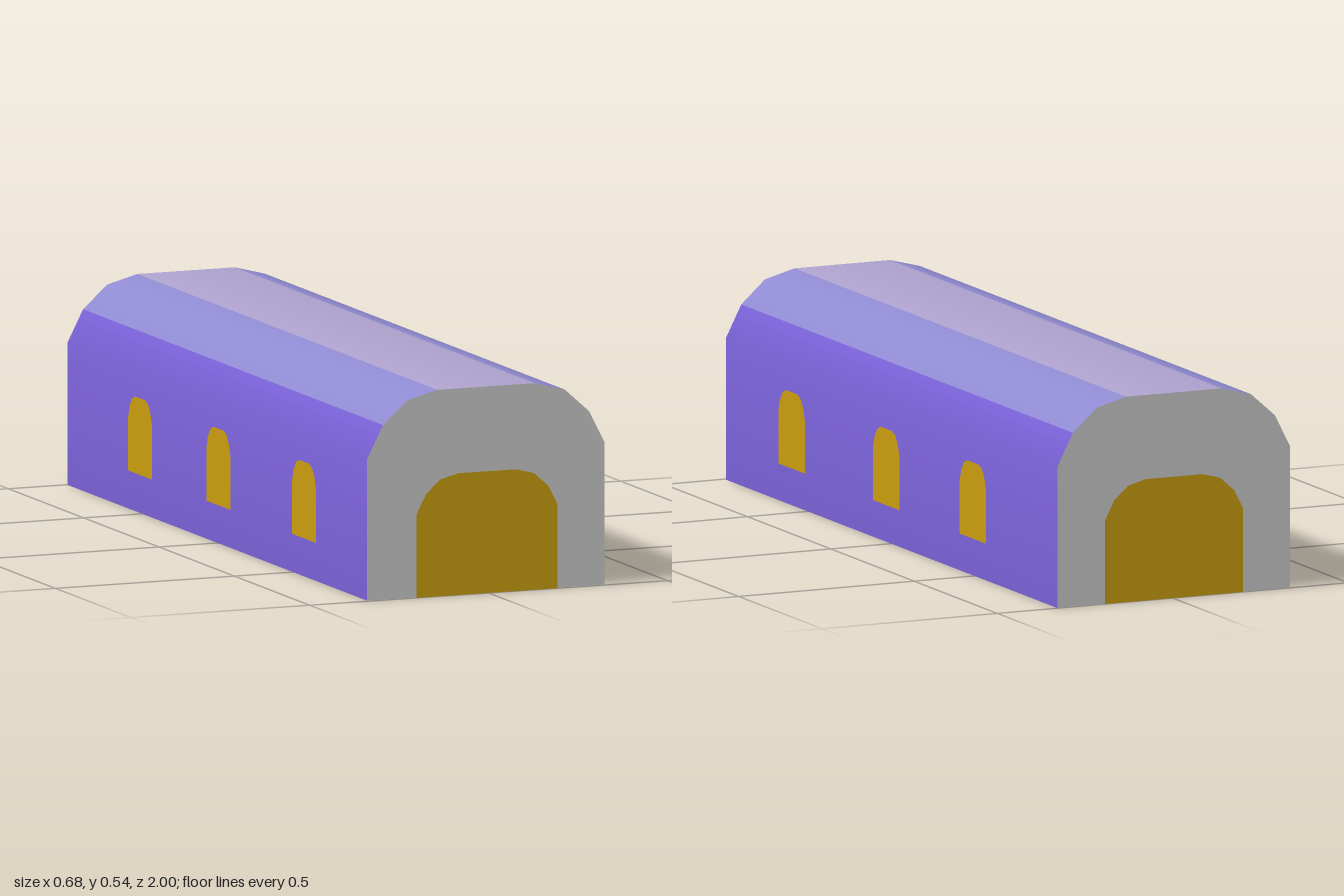
import * as THREE from 'three';

const mat = (name, color) => {
  const m = new THREE.MeshStandardMaterial({ color, side: THREE.DoubleSide });
  m.name = name;
  return m;
};

// Right half of the arch, as fractions of half width and height, from the ground up
const HALF = [[1, 0], [1, 0.688], [0.867, 0.847], [0.663, 0.959], [0.41, 1]];

// Full arch outline, from the right foot over the top to the left foot
function archPoints(halfWidth, height) {
  const right = HALF.map(([x, y]) => new THREE.Vector2(x * halfWidth, y * height));
  const left = right.map((p) => new THREE.Vector2(-p.x, p.y)).reverse();
  return [...right, ...left];
}

const archShape = (w, h) => new THREE.ShapeGeometry(new THREE.Shape(archPoints(w, h)));

// Open tunnel swept along z, with smooth normals and one material group per strip
function shellGeometry(halfWidth, height, zBack, zFront) {
  const pts = archPoints(halfWidth, height);
  const faceNormals = pts.slice(1).map((p, i) => {
    const d = p.clone().sub(pts[i]).normalize();
    return new THREE.Vector2(d.y, -d.x);
  });
  const pos = [], nor = [], idx = [];
  pts.forEach((p, i) => {
    const a = faceNormals[Math.max(i - 1, 0)];
    const b = faceNormals[Math.min(i, faceNormals.length - 1)];
    const n = a.clone().add(b).normalize();
    for (const z of [zBack, zFront]) {
      pos.push(p.x, p.y, z);
      nor.push(n.x, n.y, 0);
    }
  });
  const geo = new THREE.BufferGeometry();
  const strips = [0, 0, 1, 1, 2, 1, 1, 0, 0]; // wall, shoulder or ridge
  strips.forEach((m, i) => {
    const k = i * 2;
    idx.push(k, k + 2, k + 1, k + 1, k + 2, k + 3);
    geo.addGroup(i * 6, 6, m);
  });
  geo.setAttribute('position', new THREE.Float32BufferAttribute(pos, 3));
  geo.setAttribute('normal', new THREE.Float32BufferAttribute(nor, 3));
  geo.setIndex(idx);
  return geo;
}

export function createModel() {
  const wall = mat('wall purple', 0x7860d4);
  const shoulder = mat('shoulder blue', 0x908bd2);
  const ridge = mat('ridge lilac', 0xaea2ce);
  const grey = mat('end wall grey', 0xcacaca);
  const gold = mat('opening gold', 0xc99d0e);

  const group = new THREE.Group();
  const add = (name, geo, material, x, y, z, turn = 0) => {
    const mesh = new THREE.Mesh(geo, material);
    mesh.name = name;
    mesh.position.set(x, y, z);
    mesh.rotation.y = turn;
    group.add(mesh);
  };

  const W = 0.332, H = 0.538, CX = -0.004, BACK = -0.998, FRONT = 0.992;

  // Hollow vaulted hull, open underneath
  add('hull', shellGeometry(W, H, BACK, FRONT), [wall, shoulder, ridge], CX, 0, 0);

  // End walls with a wide arched door on each
  const end = archShape(W, H), door = archShape(0.197, 0.318);
  add('frontWall', end, grey, CX, 0, FRONT);
  add('backWall', end, grey, CX, 0, BACK, Math.PI);
  add('frontDoor', door, gold, CX, 0, 1);
  add('backDoor', door, gold, CX, 0, -1, Math.PI);

  // Three arched windows along each side
  const pane = archShape(0.08, 0.2);
  for (const z of [0.578, 0.01, -0.51]) {
    add('leftWindow', pane, gold, 0.337, 0.1, z, Math.PI / 2);
    add('rightWindow', pane, gold, -0.338, 0.1, z, -Math.PI / 2);
  }
  return group;
}
